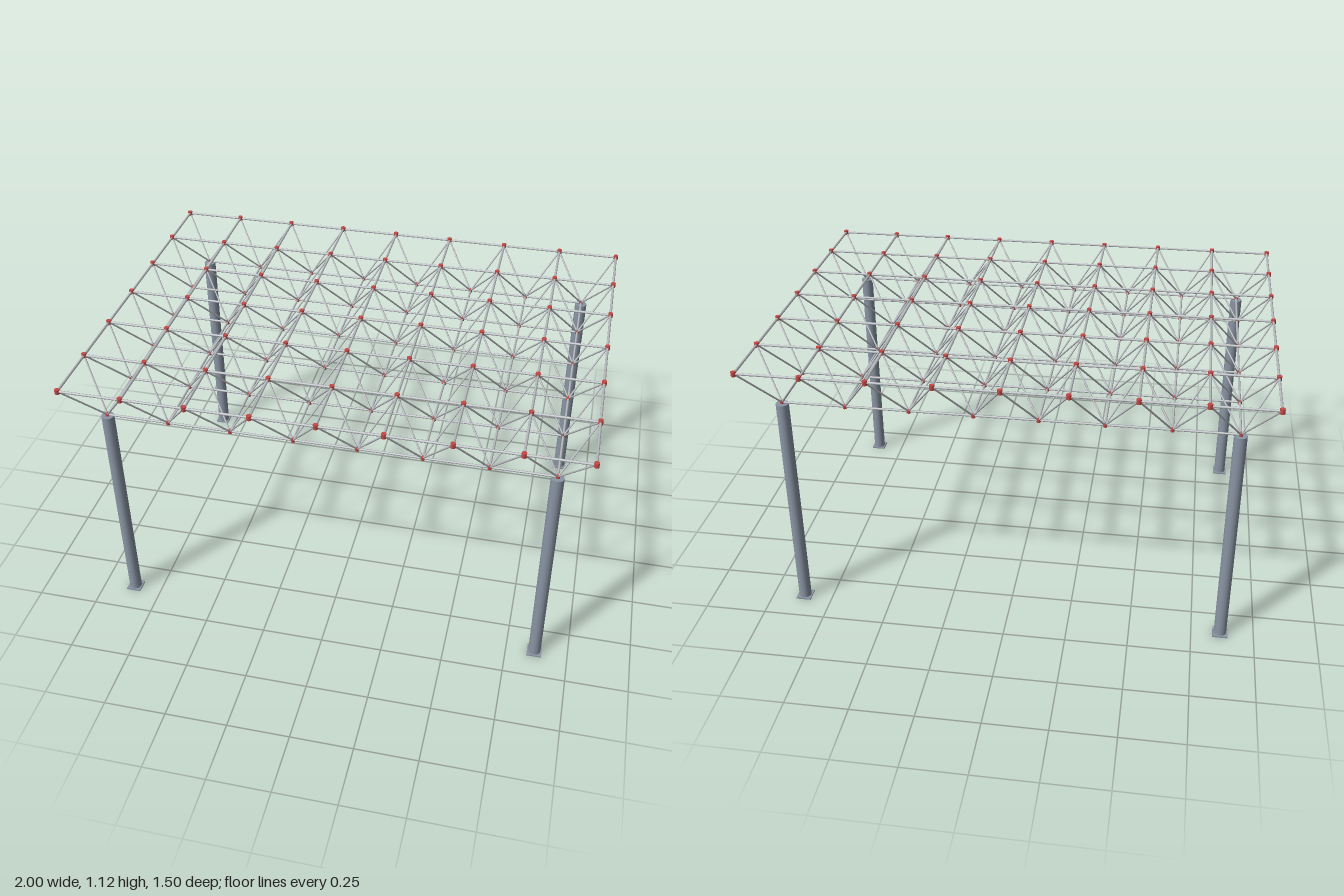
import * as THREE from 'three';
import { mergeGeometries } from 'three/addons/utils/BufferGeometryUtils.js';

const PITCH = 0.2475, TOP_Y = 1.106, BOTTOM_Y = 0.93;
const NX = 8, NZ = 6; // bays along x and z

const mat = (name, color) => {
  const m = new THREE.MeshStandardMaterial({ color });
  m.name = name;
  return m;
};

// Round bar between two points
function bar(a, b, radius) {
  const dir = b.clone().sub(a);
  const geo = new THREE.CylinderGeometry(radius, radius, dir.length(), 8);
  geo.applyQuaternion(new THREE.Quaternion().setFromUnitVectors(new THREE.Vector3(0, 1, 0), dir.normalize()));
  const mid = a.clone().add(b).multiplyScalar(0.5);
  return geo.translate(mid.x, mid.y, mid.z);
}

// Node position in a centred grid of nx by nz bays
const node = (i, j, nx, nz, y) => new THREE.Vector3((i - nx / 2) * PITCH, y, (j - nz / 2) * PITCH);

// Full-length chords in both directions
function chords(nx, nz, y, radius) {
  const bars = [];
  for (let i = 0; i <= nx; i++) bars.push(bar(node(i, 0, nx, nz, y), node(i, nz, nx, nz, y), radius));
  for (let j = 0; j <= nz; j++) bars.push(bar(node(0, j, nx, nz, y), node(nx, j, nx, nz, y), radius));
  return mergeGeometries(bars);
}

// Short drum joints at every grid point
function joints(nx, nz, y, radius) {
  const drums = [];
  for (let i = 0; i <= nx; i++) {
    for (let j = 0; j <= nz; j++) {
      const p = node(i, j, nx, nz, y);
      drums.push(new THREE.CylinderGeometry(radius, radius, radius * 1.9, 10).translate(p.x, p.y, p.z));
    }
  }
  return mergeGeometries(drums);
}

export function createModel() {
  const model = new THREE.Group();
  model.name = 'spaceFrameCanopy';
  const steel = mat('light steel', 0xb9bdc0);
  const red = mat('joint red', 0xc44a46);
  const column = mat('column grey', 0x8a95a4);

  const add = (name, geo, material) => {
    const mesh = new THREE.Mesh(geo, material);
    mesh.name = name;
    model.add(mesh);
    return mesh;
  };

  // Upper and lower grids, the lower one offset by half a bay
  add('topChords', chords(NX, NZ, TOP_Y, 0.005), steel);
  add('bottomChords', chords(NX - 1, NZ - 1, BOTTOM_Y, 0.0045), steel);
  add('topJoints', joints(NX, NZ, TOP_Y, 0.01), red);
  add('bottomJoints', joints(NX - 1, NZ - 1, BOTTOM_Y, 0.008), red);

  // Four diagonals rise from each lower joint to the corners of its bay
  const webs = [];
  for (let i = 0; i < NX; i++) {
    for (let j = 0; j < NZ; j++) {
      const low = node(i, j, NX - 1, NZ - 1, BOTTOM_Y);
      for (const di of [0, 1]) {
        for (const dj of [0, 1]) webs.push(bar(low, node(i + di, j + dj, NX, NZ, TOP_Y), 0.0035));
      }
    }
  }
  add('diagonals', mergeGeometries(webs), steel);

  // Columns under the four corner joints, with square base plates
  const cx = (NX - 1) / 2 * PITCH, cz = (NZ - 1) / 2 * PITCH, colTop = 0.925;
  for (const sx of [-1, 1]) {
    for (const sz of [-1, 1]) {
      const label = (sz > 0 ? 'front' : 'back') + (sx > 0 ? 'Left' : 'Right');
      add(label + 'Column', new THREE.CylinderGeometry(0.025, 0.025, colTop, 16), column)
        .position.set(sx * cx, colTop / 2, sz * cz);
      add(label + 'BasePlate', new THREE.BoxGeometry(0.06, 0.006, 0.06), column)
        .position.set(sx * cx, 0.003, sz * cz);
    }
  }
  return model;
}
